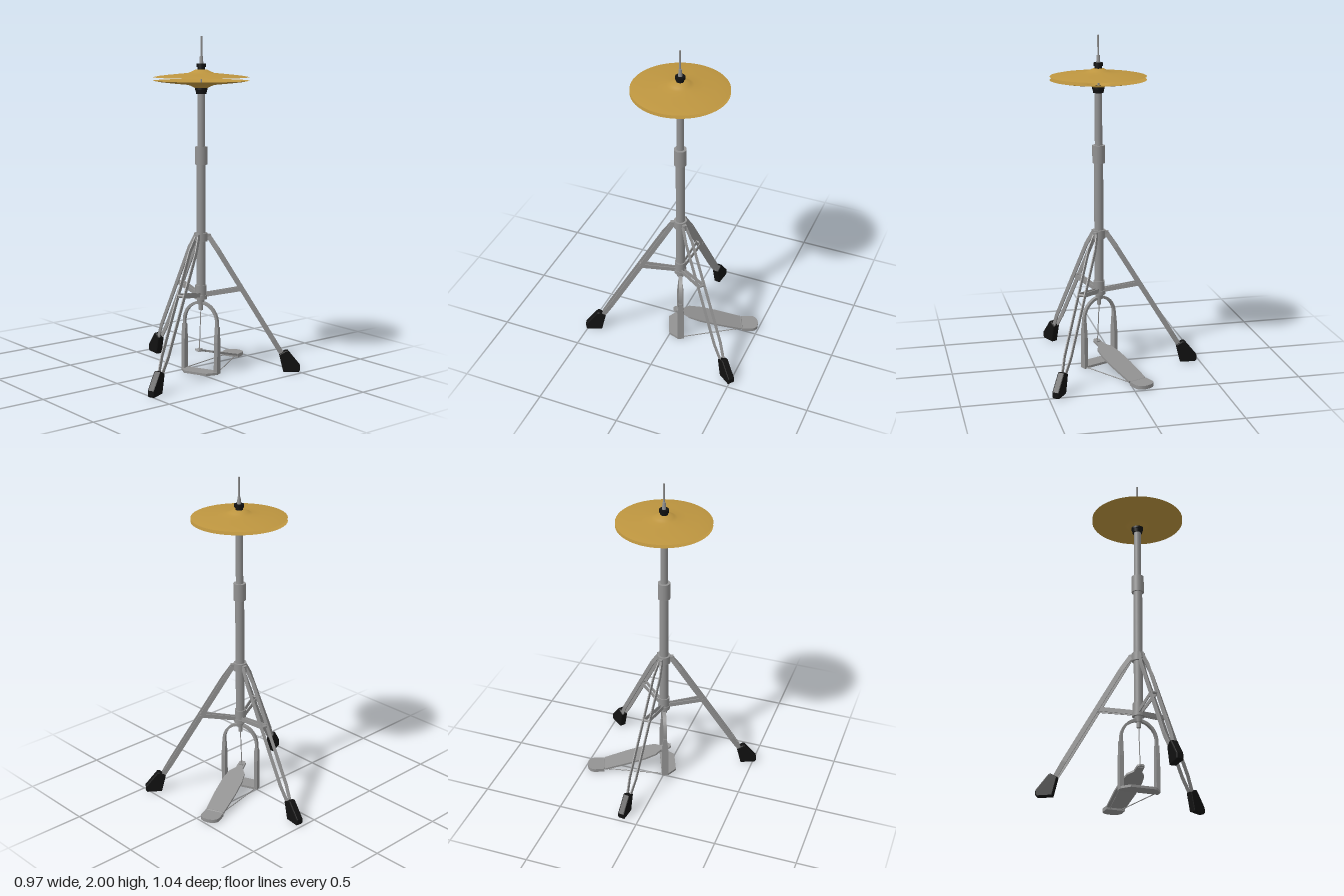
import * as THREE from 'three';

const V = (x, y, z) => new THREE.Vector3(x, y, z);
const P = (x, y) => new THREE.Vector2(x, y);

export function createModel() {
  const steel = new THREE.MeshStandardMaterial({ color: 0x929292 });
  steel.name = 'steel';
  const rubber = new THREE.MeshStandardMaterial({ color: 0x111111 });
  rubber.name = 'rubber';
  const bronze = new THREE.MeshStandardMaterial({ color: 0xbd953f, side: THREE.DoubleSide });
  bronze.name = 'bronze';

  // The stand's axis is the local origin
  const model = new THREE.Group();
  model.name = 'cymbalStand';
  model.position.set(0.11, 0, -0.035);

  const add = (parent, name, geometry, material = steel) => {
    const mesh = new THREE.Mesh(geometry, material);
    mesh.name = name;
    parent.add(mesh);
    return mesh;
  };
  // Upright cylinder between two heights
  const post = (parent, name, y0, y1, r0, r1 = r0, material = steel, sides = 24) =>
    add(parent, name, new THREE.CylinderGeometry(r1, r0, y1 - y0, sides).translate(0, (y0 + y1) / 2, 0), material);
  // Flat bar from a to b: thick sideways, deep across
  const bar = (parent, name, a, b, thick, deep) => {
    const dir = b.clone().sub(a);
    const length = dir.length();
    dir.normalize();
    const side = V(1, 0, 0).addScaledVector(dir, -dir.x).normalize();
    const g = new THREE.BoxGeometry(thick, length + 0.004, deep);
    g.applyMatrix4(new THREE.Matrix4().makeBasis(side, dir, side.clone().cross(dir)));
    const mid = a.clone().add(b).multiplyScalar(0.5);
    return add(parent, name, g.translate(mid.x, mid.y, mid.z));
  };
  const rod = (parent, name, points, r) => {
    const path = new THREE.CurvePath();
    for (let i = 1; i < points.length; i++) path.add(new THREE.LineCurve3(points[i - 1], points[i]));
    return add(parent, name, new THREE.TubeGeometry(path, 12, r, 8));
  };
  // Side profile given as (z, y), centred on x
  const sideExtrude = (points, width, bevel = 0) => new THREE.ExtrudeGeometry(
    new THREE.Shape(points.map(([z, y]) => P(-z, y))),
    { depth: width - 2 * bevel, bevelEnabled: bevel > 0, bevelSize: bevel, bevelThickness: bevel, bevelOffset: -bevel, bevelSegments: 2 }
  ).translate(0, 0, bevel - width / 2).rotateY(Math.PI / 2);
  // Plan shape (x, z) laid flat with its top at y = 0
  const flat = (shape, depth) =>
    new THREE.ExtrudeGeometry(shape, { depth, bevelEnabled: false, curveSegments: 12 }).rotateX(Math.PI / 2);

  // Centre column
  post(model, 'lowerTube', 0.46, 1.30, 0.027);
  post(model, 'upperTube', 1.30, 1.675, 0.022);
  post(model, 'heightClamp', 1.255, 1.36, 0.037);
  post(model, 'legCollar', 0.80, 0.85, 0.039);
  post(model, 'strutCollar', 0.475, 0.535, 0.034);
  post(model, 'bottomFlange', 0.452, 0.477, 0.038);
  post(model, 'rodGuide', 0.42, 0.452, 0.02, 0.024);
  post(model, 'rodCoupling', 0.385, 0.42, 0.013);
  post(model, 'pullRod', 1.67, 2, 0.0055, 0.0055, steel, 12);

  // Cymbals and their fittings
  const cup = [P(0.006, 0.047), P(0.035, 0.043), P(0.058, 0.032), P(0.078, 0.024), P(0.13, 0.019),
    P(0.2, 0.012), P(0.25, 0.006), P(0.28, 0)];
  const cymbal = new THREE.LatheGeometry(cup, 48);
  add(model, 'topCymbal', cymbal, bronze).position.y = 1.764;
  const lower = add(model, 'bottomCymbal', cymbal, bronze);
  lower.position.y = 1.744;
  lower.rotation.x = Math.PI;
  post(model, 'cymbalSeat', 1.668, 1.69, 0.03, 0.034, rubber);
  post(model, 'seatFelt', 1.69, 1.706, 0.037, 0.037, rubber);
  post(model, 'clutchFelt', 1.805, 1.823, 0.022, 0.022, rubber);
  post(model, 'clutchNut', 1.823, 1.842, 0.028, 0.028, rubber);
  post(model, 'clutchBody', 1.842, 1.885, 0.012, 0.009);

  // Three legs, each a pair of bent plates with a strut and rubber foot
  const turn = 23.3 * Math.PI / 180;
  const footProfile = [[0.497, 0.002], [0.588, 0.002], [0.597, 0.012], [0.597, 0.042], [0.522, 0.134], [0.508, 0.134],
    [0.47, 0.112]];
  for (let i = 0; i < 3; i++) {
    const leg = new THREE.Group();
    leg.name = 'leg' + (i + 1);
    leg.rotation.y = turn + i * Math.PI * 2 / 3;
    model.add(leg);
    for (const s of [-1, 1]) {
      const pts = [V(s * 0.009, 0.828, 0.045), V(s * 0.021, 0.745, 0.1), V(s * 0.021, 0.2, 0.433), V(s * 0.008, 0.09, 0.5)];
      for (let k = 0; k < 3; k++) bar(leg, 'legPlate', pts[k], pts[k + 1], 0.006, 0.028);
      bar(leg, 'strut', V(s * 0.01, 0.478, 0.025), V(s * 0.016, 0.513, 0.242), 0.005, 0.026);
    }
    add(leg, 'hingeBlock', new THREE.BoxGeometry(0.024, 0.036, 0.035).translate(0, 0.825, 0.04));
    add(leg, 'strutPin', new THREE.CylinderGeometry(0.008, 0.008, 0.052, 12).rotateZ(Math.PI / 2).translate(0, 0.513, 0.242));
    add(leg, 'rubberFoot', sideExtrude(footProfile, 0.042, 0.006), rubber);
  }

  // Pedal assembly, facing away from the first leg
  const pedal = new THREE.Group();
  pedal.name = 'pedal';
  pedal.rotation.y = turn;
  model.add(pedal);

  // Arched frame
  const R = 0.117, inner = 0.102, spring = 0.31;
  const arch = new THREE.Shape();
  arch.moveTo(R, 0.15);
  arch.lineTo(R, spring);
  arch.absellipse(0, spring, R, 0.127, 0, Math.PI, false);
  arch.lineTo(-R, 0.15);
  arch.lineTo(-inner, 0.15);
  arch.lineTo(-inner, spring);
  arch.absellipse(0, spring, inner, 0.111, Math.PI, 0, true);
  arch.lineTo(inner, 0.15);
  add(pedal, 'frameArch', new THREE.ExtrudeGeometry(arch, { depth: 0.022, bevelEnabled: false, curveSegments: 24 })
    .translate(0, 0, -0.011));
  for (const s of [-1, 1]) {
    add(pedal, 'framePost', sideExtrude([[-0.021, 0.004], [0.021, 0.004], [0.02, 0.2], [0.011, 0.29], [-0.011, 0.29], [-0.02, 0.2]], 0.023))
      .position.x = s * 0.11;
    rod(pedal, 'heelRod', [V(s * 0.11, 0.012, -0.01), V(s * 0.03, 0.012, -0.42)], 0.003);
  }

  // Base plate between the posts
  const base = new THREE.Shape([P(-0.12, -0.021), P(0.12, -0.021), P(0.12, 0.021), P(0.075, 0.072), P(-0.075, 0.072), P(-0.12, 0.021)]);
  add(pedal, 'basePlate', flat(base, 0.014)).position.y = 0.018;

  // Sloping footboard
  const board = new THREE.Shape([P(-0.058, 0), P(0.058, 0), P(0.066, 0.16), P(0.064, 0.27), P(0.052, 0.34), P(0.024, 0.375),
    P(0.022, 0.43), P(0.012, 0.442), P(-0.012, 0.442), P(-0.022, 0.43), P(-0.024, 0.375), P(-0.052, 0.34), P(-0.064, 0.27), P(-0.066, 0.16)]);
  const boardMesh = add(pedal, 'footboard', flat(board, 0.012).rotateX(-0.288));
  boardMesh.position.set(0, 0.029, -0.383);

  // Rounded heel plate and hinge
  const heel = new THREE.Shape();
  heel.moveTo(0.058, -0.388);
  heel.lineTo(-0.058, -0.388);
  heel.lineTo(-0.06, -0.44);
  heel.bezierCurveTo(-0.06, -0.476, -0.035, -0.491, 0, -0.491);
  heel.bezierCurveTo(0.035, -0.491, 0.06, -0.476, 0.06, -0.44);
  add(pedal, 'heelPlate', flat(heel, 0.022)).position.y = 0.027;
  add(pedal, 'hingePin', new THREE.CylinderGeometry(0.007, 0.007, 0.1, 12).rotateZ(Math.PI / 2).translate(0, 0.023, -0.385));

  // Link from the pull rod to the toe of the footboard
  rod(pedal, 'pullLink', [V(0, 0.39, 0), V(0, 0.142, 0.018)], 0.003);
  add(pedal, 'toeClamp', new THREE.BoxGeometry(0.026, 0.016, 0.03).translate(0, 0.142, 0.018));

  const root = new THREE.Group();
  root.name = 'model';
  root.add(model);
  return root;
}
